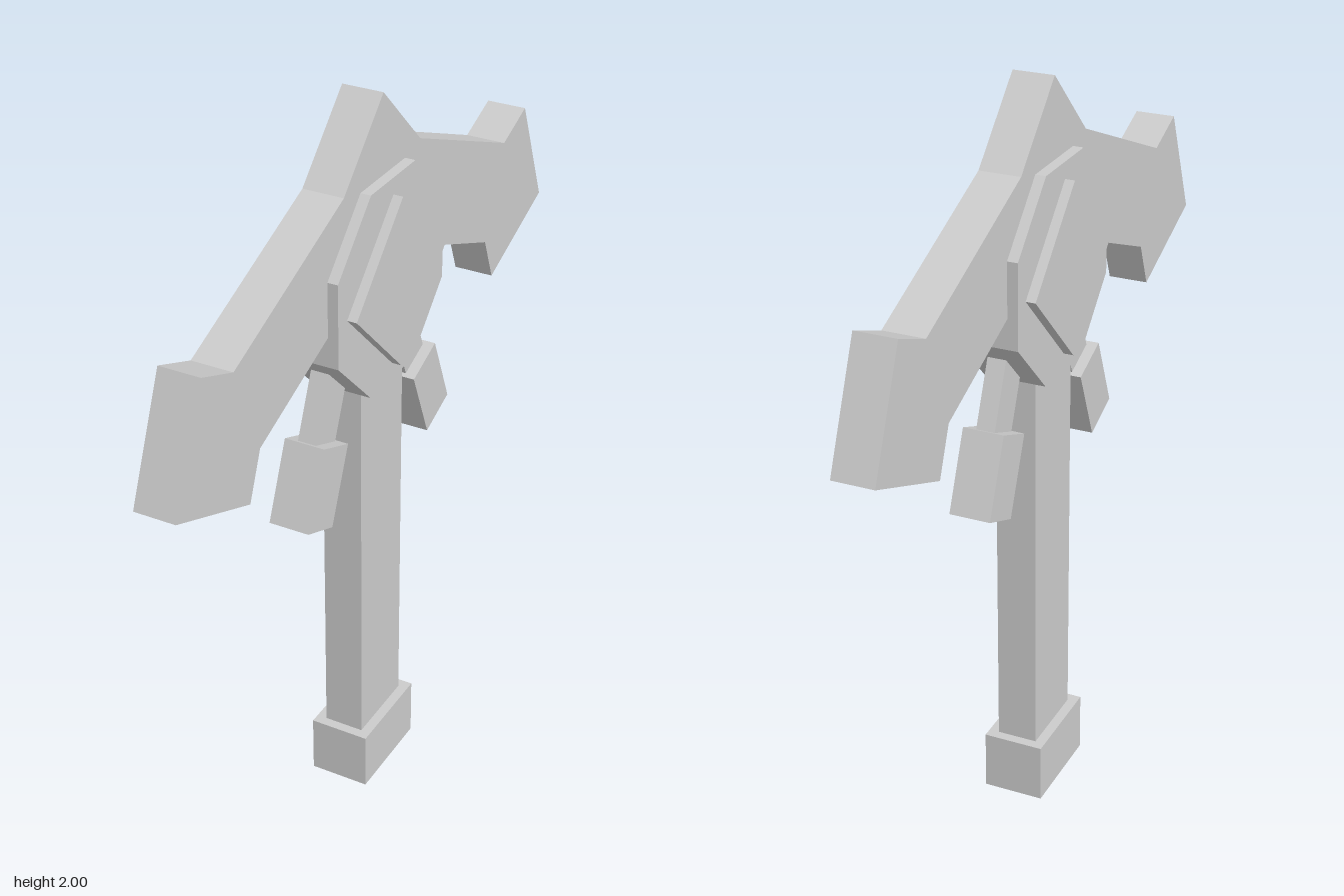
import * as THREE from 'three';

const material = new THREE.MeshStandardMaterial({ color: 0xcccccc, flatShading: true });

export function createModel() {
  const group = new THREE.Group();
  group.name = 'warHammer';

  const add = (name, geometry) => {
    const mesh = new THREE.Mesh(geometry, material);
    mesh.name = name;
    group.add(mesh);
    return mesh;
  };

  const box = (name, w, h, d, y, z = 0) => {
    const mesh = add(name, new THREE.BoxGeometry(w, h, d));
    mesh.position.set(0, y, z);
    return mesh;
  };

  // Plate in the z-y plane: mirrors a half outline (top to bottom) and centres it on x
  const plate = (name, half, thickness) => {
    const mirrored = half.filter(([z]) => z > 0).reverse().map(([z, y]) => [-z, y]);
    const shape = new THREE.Shape([...half, ...mirrored].map(([z, y]) => new THREE.Vector2(z, y)));
    const geometry = new THREE.ExtrudeGeometry(shape, { depth: thickness, bevelEnabled: false });
    geometry.translate(0, 0, -thickness / 2).rotateY(Math.PI / 2);
    return add(name, geometry);
  };

  // Shaft and pommel
  box('handle', 0.11, 1.2, 0.22, 0.75);
  box('pommel', 0.165, 0.165, 0.274, 0.0825);

  // Pointed head with two drooping hammer ends
  plate('head', [
    [0, 2], [0.193, 1.81], [0.692, 1.603], [0.82, 1.655], [0.945, 1.353],
    [0.642, 1.228], [0.592, 1.352], [0.273, 1.483], [0, 1.593],
  ], 0.11);

  // Stepped medallion on both sides of the head
  plate('octagonPlate', [[0.113, 1.79], [0.274, 1.629], [0.274, 1.402], [0.113, 1.241]], 0.166);
  plate('diamondPlate', [[0, 1.746], [0.231, 1.515], [0, 1.284]], 0.218);

  // Angled struts, each carrying a small block
  const tilt = Math.PI / 8;
  for (const side of [1, -1]) {
    const label = side > 0 ? 'front' : 'back';
    const block = box(label + 'Block', 0.11, 0.217, 0.13, 1.06, side * 0.28);
    const strut = box(label + 'Strut', 0.05, 0.36, 0.104, 1.06 + 0.18 * Math.cos(tilt),
      side * (0.28 - 0.18 * Math.sin(tilt)));
    block.rotation.x = strut.rotation.x = -side * tilt;
  }

  return group;
}
